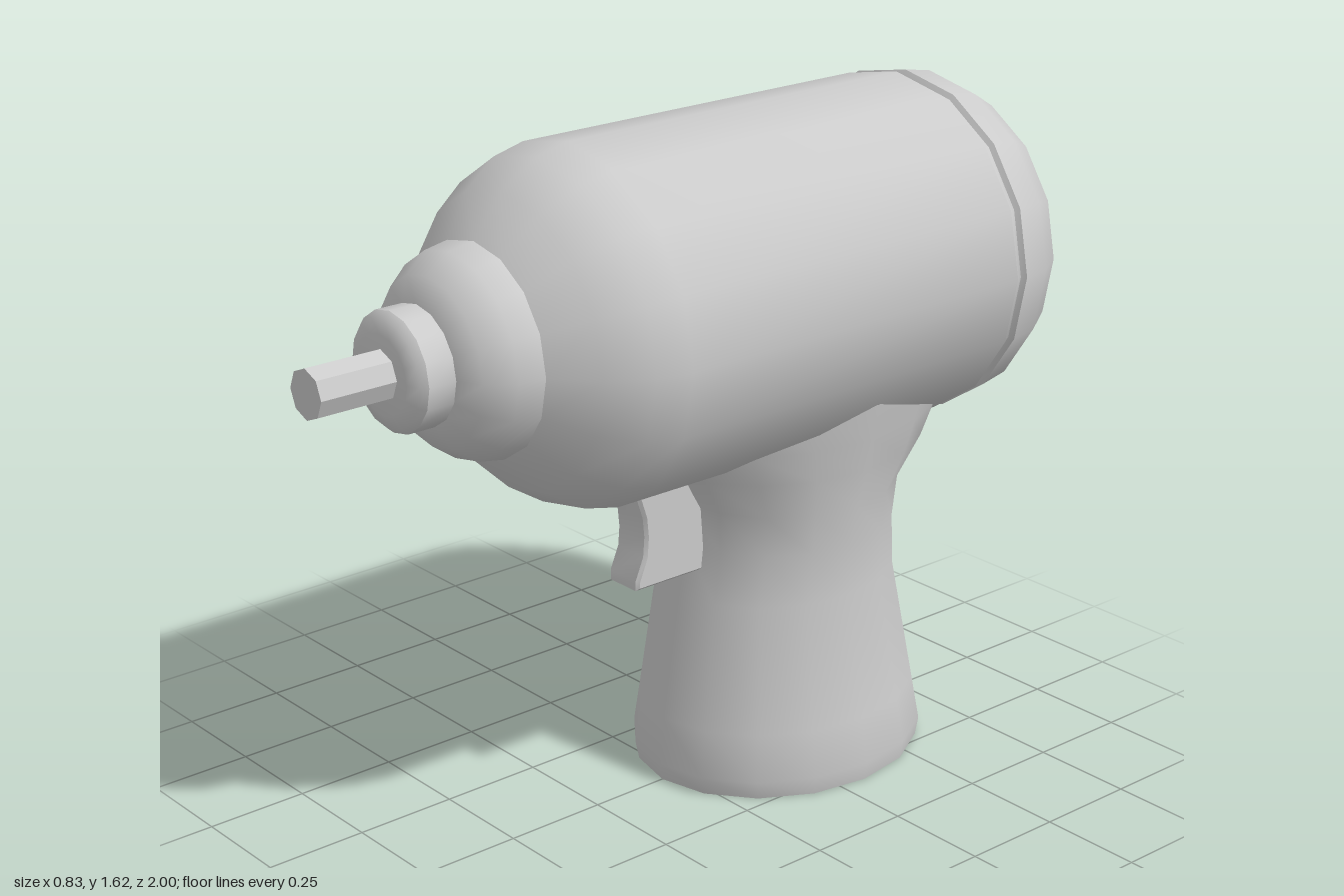
import * as THREE from 'three';
import { toCreasedNormals } from 'three/addons/utils/BufferGeometryUtils.js';

const AXIS_Y = 1.207; // height of the barrel axis
const CREASE = 0.6;

export function createModel() {
  const model = new THREE.Group();
  const material = new THREE.MeshStandardMaterial({ color: 0xcccccc });

  const add = (name, geometry) => {
    const mesh = new THREE.Mesh(toCreasedNormals(geometry, CREASE), material);
    mesh.name = name;
    model.add(mesh);
    return mesh;
  };

  // Turned part along z: profile of [radius, z], from back to front
  const turned = (name, profile, sides = 16) => {
    const points = profile.map(([r, z]) => new THREE.Vector2(r, z));
    const geometry = new THREE.LatheGeometry(points, sides).rotateX(Math.PI / 2);
    add(name, geometry).position.y = AXIS_Y;
  };

  // Motor housing with domed rear cap, seam groove and rounded front
  turned('housing', [
    [0, -1], [0.09, -0.998], [0.24, -0.96], [0.355, -0.86], [0.4, -0.785], [0.414, -0.705],
    [0.402, -0.697], [0.402, -0.685], [0.414, -0.675],
    [0.414, 0.31], [0.395, 0.395], [0.335, 0.49], [0.24, 0.568], [0, 0.568],
  ]);
  turned('nose', [[0, 0.5], [0.242, 0.5], [0.242, 0.57], [0.232, 0.63], [0.19, 0.69], [0.132, 0.72], [0, 0.72]]);
  turned('collar', [[0, 0.7], [0.135, 0.7], [0.135, 0.787], [0.122, 0.802], [0.09, 0.813], [0, 0.813]]);
  turned('bit', [[0, 0.78], [0.057, 0.78], [0.057, 1], [0, 1]], 8);

  // Grip: stacked ellipses, each [y, half width, front z, back z]
  const rings = [
    [0, 0.315, 0.05, -0.692],
    [0.045, 0.322, 0.06, -0.7],
    [0.16, 0.305, 0.043, -0.677],
    [0.47, 0.262, -0.003, -0.612],
    [0.6, 0.27, -0.02, -0.595],
    [0.7, 0.28, -0.012, -0.605],
    [0.79, 0.293, 0.04, -0.69],
    [0.87, 0.308, 0.085, -0.735],
    [0.96, 0.324, 0.11, -0.76],
  ];
  const outline = [new THREE.Vector2(0, 0), ...rings.map((r, i) => new THREE.Vector2(1, i))];
  const grip = new THREE.LatheGeometry(outline, 16);
  const pos = grip.attributes.position;
  for (let i = 0; i < pos.count; i++) {
    const [y, halfWidth, front, back] = rings[Math.round(pos.getY(i))];
    pos.setXYZ(i, pos.getX(i) * halfWidth, y, (front + back) / 2 + pos.getZ(i) * (front - back) / 2);
  }
  add('grip', grip);

  // Trigger: curved side profile drawn in (z, y), extruded across x
  const side = new THREE.Shape();
  side.moveTo(-0.08, 0.55);
  side.lineTo(0.16, 0.55);
  side.lineTo(0.16, 0.565);
  side.lineTo(0.137, 0.62);
  side.lineTo(0.133, 0.67);
  side.lineTo(0.138, 0.72);
  side.lineTo(0.165, 0.8);
  side.lineTo(0.165, 0.87);
  side.lineTo(-0.08, 0.87);
  side.closePath();
  const trigger = new THREE.ExtrudeGeometry(side, {
    depth: 0.09, bevelEnabled: true, bevelThickness: 0.008, bevelSize: 0.007, bevelSegments: 1,
  });
  trigger.translate(0, 0, -0.045).rotateY(-Math.PI / 2);
  add('trigger', trigger);

  return model;
}
